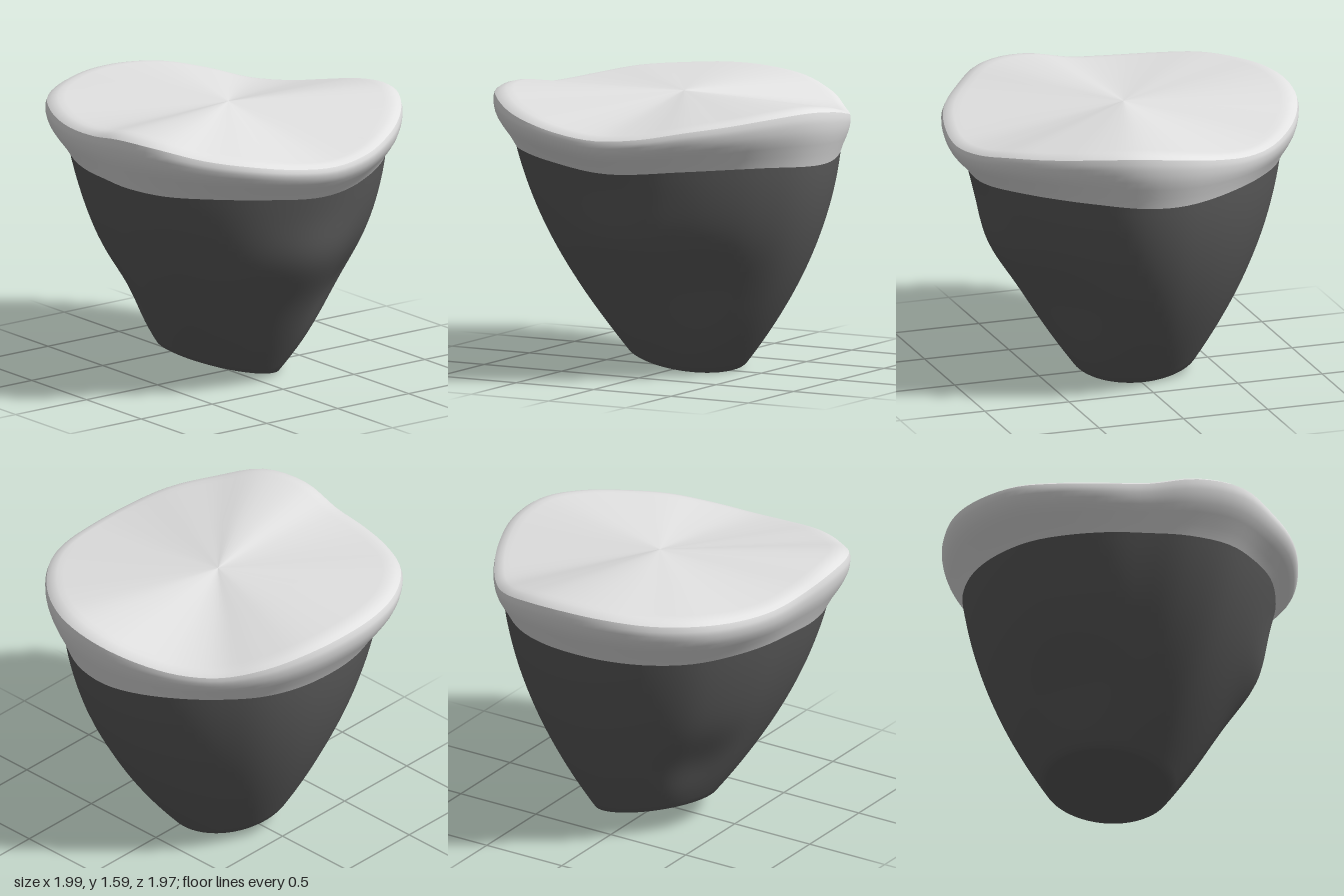
import * as THREE from 'three';

const SEG = 96;

// Rim radius and rim height every 15 degrees, from +x round through +z
const RADIUS = [0.995, 1.005, 1.03, 1.045, 1.065, 1.015, 0.955, 0.965, 0.995, 1.03, 1.03, 1.015,
  0.995, 0.983, 0.965, 0.935, 0.93, 0.95, 0.985, 1.0, 0.98, 0.965, 0.97, 0.985];
const HEIGHT = [1.40, 1.42, 1.46, 1.50, 1.555, 1.56, 1.52, 1.51, 1.52, 1.54, 1.55, 1.56,
  1.555, 1.53, 1.48, 1.43, 1.43, 1.465, 1.51, 1.535, 1.52, 1.49, 1.46, 1.42];
// Seam height and its radius as a share of the rim, every 30 degrees
const SEAM_HEIGHT = [1.20, 1.235, 1.25, 1.255, 1.255, 1.25, 1.25, 1.245, 1.24, 1.215, 1.235, 1.225];
const SEAM_SHARE = [0.88, 0.87, 0.88, 0.905, 0.875, 0.86, 0.875, 0.905, 0.94, 0.93, 0.905, 0.88];
// Outward bulge of the body wall every 45 degrees
const BULGE = [0.52, 0.55, 0.5, 0.5, 0.63, 0.68, 0.75, 0.7];

// Smooth periodic lookup
function sample(table, a) {
  const n = table.length;
  const p = (a / (Math.PI * 2)) * n;
  const i = Math.floor(p), t = p - i;
  const [q, r, s, u] = [-1, 0, 1, 2].map((k) => table[(i + k + n) % n]);
  return r + 0.5 * t * (s - q + t * (2 * q - 5 * r + 4 * s - u + t * (3 * (r - s) + u - q)));
}

// Closed loops of points joined row to row
function loft(rows, pointAt) {
  const pos = [], idx = [];
  for (let j = 0; j <= rows; j++) {
    for (let i = 0; i < SEG; i++) {
      pos.push(...pointAt((i / SEG) * Math.PI * 2, j));
      if (j === rows) continue;
      const a = j * SEG + i, b = j * SEG + ((i + 1) % SEG);
      idx.push(a, a + SEG, b, b, a + SEG, b + SEG);
    }
  }
  const g = new THREE.BufferGeometry();
  g.setAttribute('position', new THREE.Float32BufferAttribute(pos, 3));
  g.setIndex(idx);
  g.computeVertexNormals();
  return g;
}

const lerp = THREE.MathUtils.lerp;

// Tilted oval foot
function footPoint(a, k) {
  const x = -0.07 + 0.36 * k * Math.cos(a);
  const z = 0.02 + 0.335 * k * Math.sin(a);
  return [x, 0.07 + 0.22 * z - 0.09 * x, z];
}

// Line where the dark body meets the pale rim
function seamPoint(a) {
  const r = sample(RADIUS, a) * sample(SEAM_SHARE, a);
  return [r * Math.cos(a), sample(SEAM_HEIGHT, a), r * Math.sin(a)];
}

// Soft hollow (or swelling, if depth is negative) in the body wall
function hollow(a, t, angle, level, depth) {
  const d = Math.atan2(Math.sin(a - angle), Math.cos(a - angle));
  return depth * Math.exp(-((d / 0.4) ** 2) - ((t - level) / 0.2) ** 2) * Math.sin(Math.PI * t);
}

function wallPoint(a, t) {
  const f = footPoint(a, 1), s = seamPoint(a);
  const k = t + sample(BULGE, a) * t * (1 - t);
  const dent = hollow(a, t, 2.15, 0.25, 0.045) + hollow(a, t, 5.6, 0.4, 0.045)
    + hollow(a, t, 0, 0.68, -0.05);
  return [
    lerp(f[0], s[0], k) - dent * Math.cos(a),
    lerp(f[1], s[1], t),
    lerp(f[2], s[2], k) - dent * Math.sin(a),
  ];
}

// Foot rows first, then the wall, so the lower edge shades softly
const WALL = 28, FOOT_ROWS = [0, 0.6, 0.93];
function bodyPoint(a, j) {
  const w = j - FOOT_ROWS.length;
  return w < 0 ? footPoint(a, FOOT_ROWS[j]) : wallPoint(a, w / WALL);
}

// Rim cross-section: share of height, share of overhang
const RIM = [[0, 0], [0.2, 0.27], [0.4, 0.6], [0.55, 0.81], [0.68, 0.93], [0.8, 0.99], [0.9, 1], [1, 0.93]];
function rimPoint(a, j) {
  const s = seamPoint(a), R = sample(RADIUS, a);
  const r = lerp(Math.hypot(s[0], s[2]), R, RIM[j][1]);
  return [r * Math.cos(a), lerp(s[1], sample(HEIGHT, a), RIM[j][0]), r * Math.sin(a)];
}

// Top: rounded shoulder, then straight slopes to the centre
function topPoint(a, j) {
  const edge = rimPoint(a, RIM.length - 1);
  const k = [1, 0.975, 0.94, 0.9, 0.45, 0][j];
  const crown = edge[1] + [0, 0.016, 0.024, 0.026][Math.min(j, 3)];
  const y = j < 4 ? crown : lerp(1.56, crown, k / 0.9);
  return [edge[0] * k, y, edge[2] * k];
}

export function createModel() {
  const dark = new THREE.MeshStandardMaterial({ color: 0x5c5c5c });
  dark.name = 'dark grey';
  const pale = new THREE.MeshStandardMaterial({ color: 0xe2e2e2 });
  pale.name = 'pale grey';

  const model = new THREE.Group();
  const add = (name, geometry, material) => {
    const mesh = new THREE.Mesh(geometry, material);
    mesh.name = name;
    model.add(mesh);
  };
  add('body', loft(FOOT_ROWS.length + WALL, bodyPoint), dark);
  add('rim', loft(RIM.length - 1, rimPoint), pale);
  add('top', loft(5, topPoint), pale);
  return model;
}
